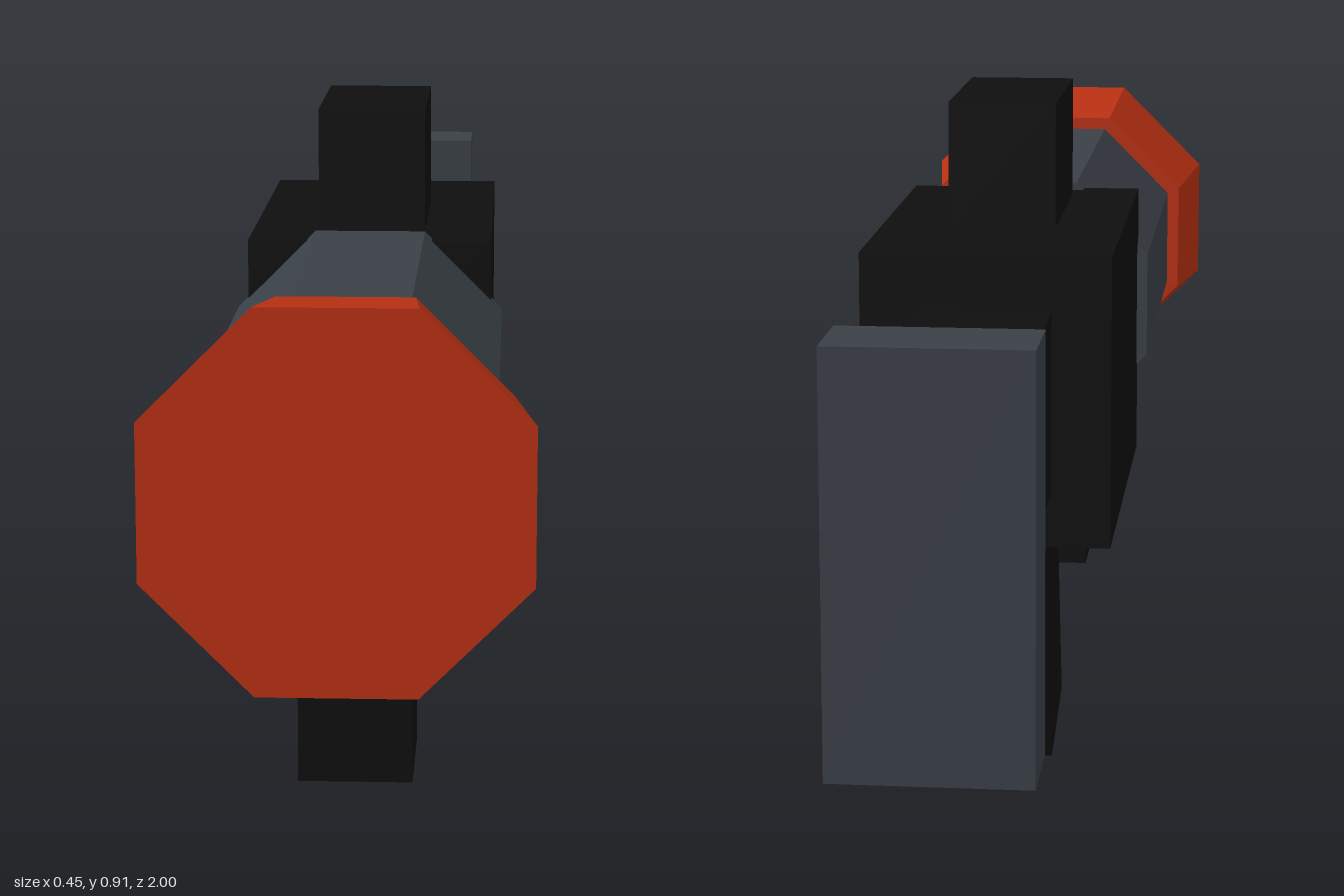
import * as THREE from 'three';

const mat = (name, color) => {
  const m = new THREE.MeshStandardMaterial({ color });
  m.name = name;
  return m;
};

export function createModel() {
  const group = new THREE.Group();
  const black = mat('black', 0x0e0e0e);
  const grey = mat('slate grey', 0x3a4047);
  const orange = mat('burnt orange', 0xb83012);

  const add = (name, geometry, material, y, z) => {
    const mesh = new THREE.Mesh(geometry, material);
    mesh.name = name;
    mesh.position.set(0, y, z);
    group.add(mesh);
    return mesh;
  };

  // Box given by its width and its y and z limits
  const box = (name, material, width, y0, y1, z0, z1) =>
    add(name, new THREE.BoxGeometry(width, y1 - y0, z1 - z0), material, (y0 + y1) / 2, (z0 + z1) / 2);

  // Eight-sided tube along z with flat top and sides, sized by half its flat-to-flat width
  const octagon = (name, material, front, back, z0, z1) => {
    const k = 1 / Math.cos(Math.PI / 8);
    const geo = new THREE.CylinderGeometry(front * k, back * k, z1 - z0, 8, 1, false, Math.PI / 8)
      .rotateX(Math.PI / 2).toNonIndexed();
    geo.computeVertexNormals();
    return add(name, geo, material, 0.577, (z0 + z1) / 2);
  };

  // Barrel and flared muzzle
  octagon('barrel', grey, 0.18, 0.18, 0.175, 0.79);
  octagon('muzzle', orange, 0.224, 0.198, 0.785, 1);

  // Receiver with sight block
  box('receiver', black, 0.33, 0.357, 0.747, -0.39, 0.197);
  box('sight', black, 0.146, 0.74, 0.917, -0.17, 0.125);

  // Stock and butt plate
  box('stock', black, 0.174, 0.43, 0.673, -0.885, -0.385);
  box('buttPlate', grey, 0.244, 0.237, 0.747, -1, -0.88);

  // Grips and trigger
  box('frontGrip', black, 0.146, 0.112, 0.42, 0.417, 0.588);
  box('trigger', black, 0.08, 0.26, 0.37, -0.13, 0.038);
  const grip = add('rearGrip', new THREE.BoxGeometry(0.146, 0.42, 0.172), black, 0.229, -0.178);
  grip.rotation.x = -0.275;

  return group;
}
